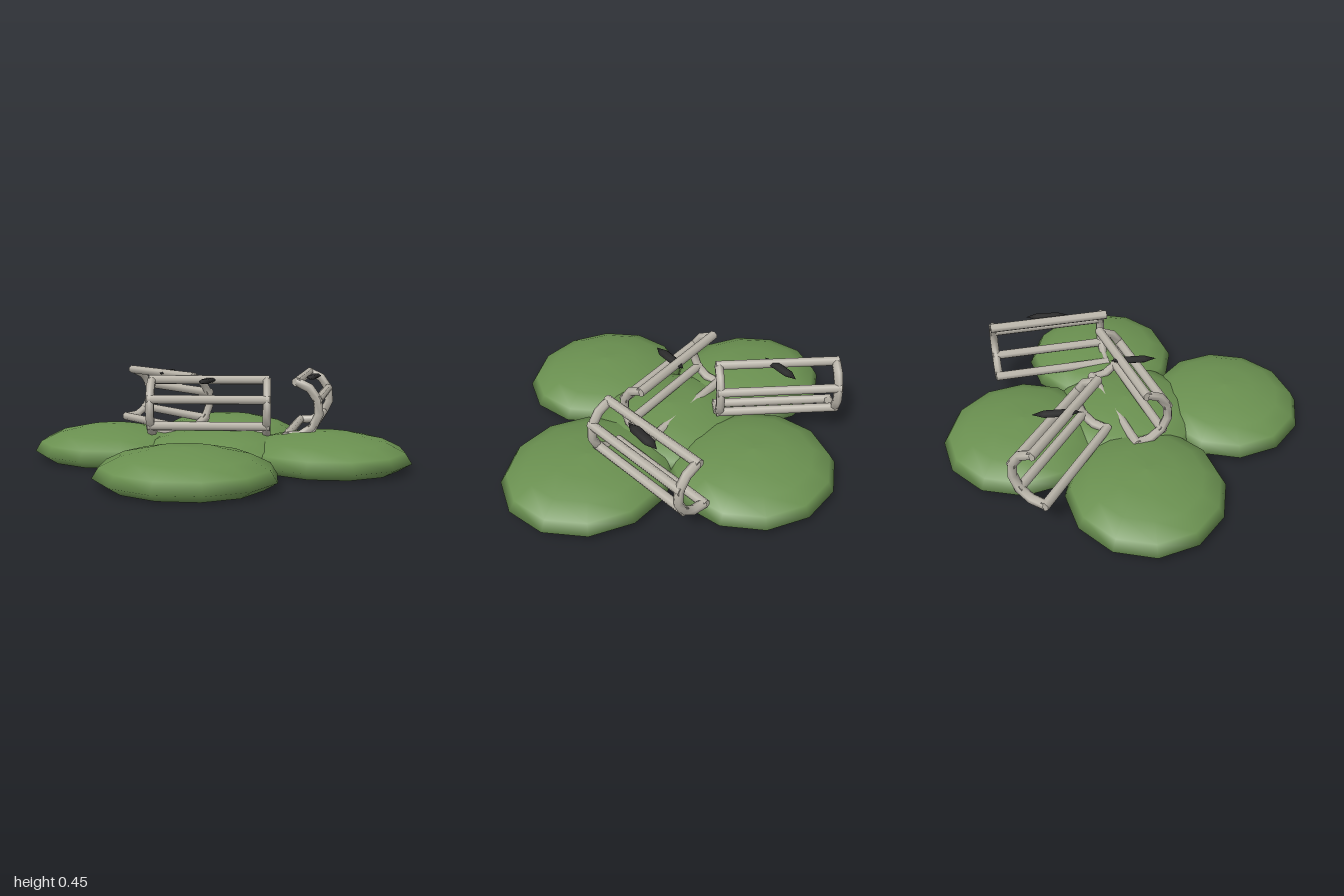
import * as THREE from 'three';

const green = new THREE.MeshStandardMaterial({ color: 0x6a9050 });
green.name = 'leafGreen';
const bone = new THREE.MeshStandardMaterial({ color: 0xbab5aa, side: THREE.DoubleSide });
bone.name = 'paleGrey';
const dark = new THREE.MeshStandardMaterial({ color: 0x2b2b2b });
dark.name = 'charcoal';

function addMesh(parent, name, geometry, material) {
  const mesh = new THREE.Mesh(geometry, material);
  mesh.name = name;
  parent.add(mesh);
  return mesh;
}

// Low mound: domed top, narrow undercut rim, flat base
function makeMound(x, z, rx, rz) {
  const mound = new THREE.Group();
  mound.name = 'mound';
  const profile = [new THREE.Vector2(0.85, 0)];
  for (let i = 0; i <= 4; i++) {
    const a = (i / 4) * Math.PI / 2;
    profile.push(new THREE.Vector2(i === 4 ? 0 : Math.cos(a), 0.04 + 0.138 * Math.sin(a)));
  }
  addMesh(mound, 'moundDome', new THREE.LatheGeometry(profile, 12), green);
  addMesh(mound, 'moundBase', new THREE.CircleGeometry(0.85, 12).rotateX(Math.PI / 2), green);
  mound.position.set(x, 0, z);
  mound.scale.set(rx, 1, rz);
  return mound;
}

// Half-round cage: an arc at each end joined by four rods, bulging to local +z
const R = 0.143, TUBE = 0.024, HALF = 0.3;
const TILT = THREE.MathUtils.degToRad(10);

function makeCage(x, z, turn) {
  const cage = new THREE.Group();
  cage.name = 'cage';
  const start = -Math.PI / 2 - TILT;
  for (const side of [-1, 1]) {
    const arc = new THREE.TorusGeometry(R, TUBE, 6, 6, Math.PI);
    arc.rotateZ(start).rotateY(-Math.PI / 2);
    addMesh(cage, 'endArc', arc, bone).position.x = side * HALF;
  }
  for (let i = 0; i < 4; i++) {
    const a = start + (i / 3) * Math.PI;
    const rod = new THREE.CylinderGeometry(TUBE, TUBE, 2 * HALF + 0.03, 7).rotateZ(Math.PI / 2);
    addMesh(cage, 'rod', rod, bone).position.set(0, R * Math.sin(a), R * Math.cos(a));
  }
  cage.position.set(x, 0.288, z);
  cage.rotation.y = turn;
  return cage;
}

export function createModel() {
  const model = new THREE.Group();
  model.name = 'moundsWithCages';

  // x, z, x radius, z radius
  for (const m of [
    [0, 0, 0.42, 0.4],
    [0.05, 0.54, 0.44, 0.4],
    [-0.57, 0.04, 0.43, 0.39],
    [-0.12, -0.54, 0.43, 0.41],
    [0.56, -0.09, 0.44, 0.41],
  ]) model.add(makeMound(...m));

  // x, z, turn
  for (const c of [
    [-0.05, -0.045, 0.3],
    [-0.46, -0.3, 2.58],
    [0.35, -0.373, 1.695],
  ]) model.add(makeCage(...c));

  // Thin pointed dark slivers resting on the cages, all lying along z
  for (const [x, z] of [[-0.03, 0.035], [-0.425, -0.365], [0.43, -0.385]]) {
    const sliver = new THREE.SphereGeometry(1, 6, 3).rotateX(Math.PI / 2).scale(0.032, 0.015, 0.115);
    addMesh(model, 'darkSliver', sliver, dark).position.set(x, 0.43, z);
  }
  return model;
}
